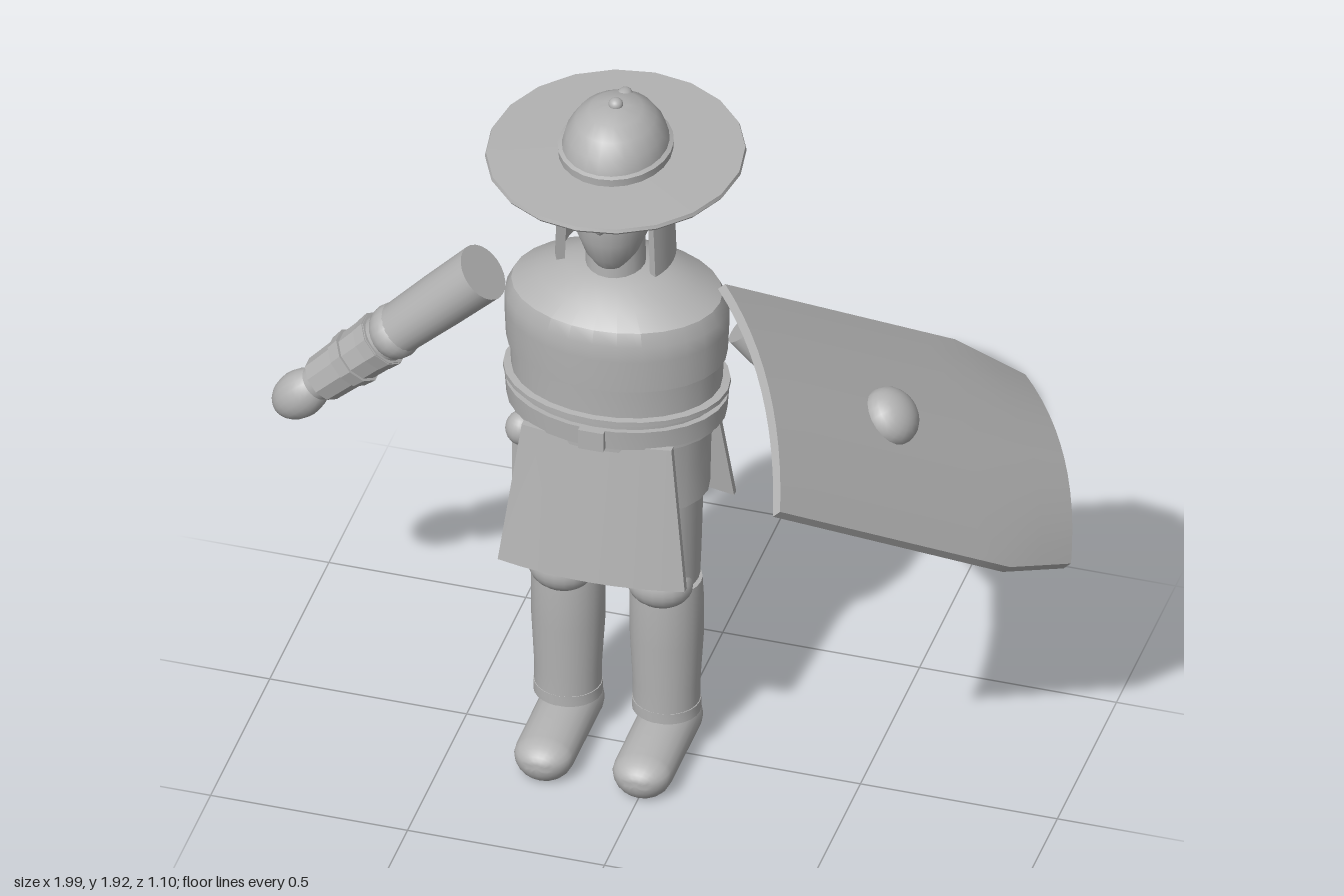
import * as THREE from 'three';
import { toCreasedNormals } from 'three/addons/utils/BufferGeometryUtils.js';

const grey = new THREE.MeshStandardMaterial({ color: 0xb2b2b2, side: THREE.DoubleSide });
grey.name = 'clay grey';

const CX = -0.125; // body axis
const CZ = -0.022;

function add(parent, name, geometry, x = 0, y = 0, z = 0) {
  const mesh = new THREE.Mesh(geometry, grey);
  mesh.name = name;
  mesh.position.set(x, y, z);
  parent.add(mesh);
  return mesh;
}

// Moves every vertex of a geometry by a rule, then rebuilds its normals
function bend(geometry, rule, crease = 0.7) {
  const p = geometry.attributes.position;
  const v = new THREE.Vector3();
  for (let i = 0; i < p.count; i++) {
    v.fromBufferAttribute(p, i);
    rule(v);
    p.setXYZ(i, v.x, v.y, v.z);
  }
  return toCreasedNormals(geometry, crease);
}

function lathe(points, sx = 1, sz = 1, segments = 24) {
  const g = new THREE.LatheGeometry(points.map(([r, y]) => new THREE.Vector2(r, y)), segments);
  g.scale(sx, 1, sz);
  return toCreasedNormals(g, 0.6);
}

function ball(rx, ry, rz) {
  return new THREE.SphereGeometry(1, 20, 14).scale(rx, ry, rz);
}

function makeHead() {
  const head = new THREE.Group();
  head.name = 'head';
  head.position.set(CX - 0.003, 0, CZ);
  add(head, 'neck', new THREE.CylinderGeometry(0.07, 0.075, 0.16, 20), 0, 1.49, 0);
  // Face narrows to a chin set slightly forward
  const face = lathe([[0, 1.455], [0.04, 1.463], [0.066, 1.5], [0.09, 1.56], [0.104, 1.63], [0.108, 1.7], [0.108, 1.76]], 1, 1.13);
  add(head, 'face', bend(face, (v) => { v.z += (1.76 - v.y) * 0.12; }));
  add(head, 'nose', ball(0.018, 0.033, 0.026), 0, 1.635, 0.128);
  for (const s of [-1, 1]) add(head, 'eye', ball(0.014, 0.006, 0.008), s * 0.043, 1.68, 0.117);

  // Hanging hood, open at the face and flaring downwards
  const gap = 1.02;
  const ring = new THREE.Shape();
  ring.absarc(0, 0, 1, Math.PI / 2 + gap, Math.PI * 2.5 - gap, false);
  ring.absarc(0, 0, 0.86, Math.PI * 2.5 - gap, Math.PI / 2 + gap, true);
  const hood = new THREE.ExtrudeGeometry(ring, { depth: 0.29, steps: 3, bevelEnabled: false, curveSegments: 20 });
  add(head, 'hood', bend(hood, (v) => {
    const t = v.z / 0.29;
    v.set(v.x * (0.127 + 0.02 * Math.sqrt(t)), 1.755 - v.z, v.y * 0.157);
    v.x *= -1;
  }));

  // Wide helmet
  const brim = lathe([[0.1, 1.75], [0.312, 1.75], [0.317, 1.757], [0.314, 1.766], [0.1, 1.77]], 1, 1.055, 20);
  add(head, 'helmetBrim', brim);
  add(head, 'helmetBand', lathe([[0.138, 1.76], [0.14, 1.79], [0.128, 1.796]], 1, 1.15));
  add(head, 'helmetDome', lathe([[0.133, 1.76], [0.131, 1.79], [0.12, 1.83], [0.097, 1.866], [0.065, 1.89], [0.03, 1.9], [0, 1.902]], 1, 1.17));
  add(head, 'topKnob', ball(0.018, 0.016, 0.018), 0, 1.904, 0);
  add(head, 'rearKnob', ball(0.019, 0.014, 0.026), 0, 1.882, -0.073);
  return head;
}

function makeBody() {
  const body = new THREE.Group();
  body.name = 'body';
  body.position.set(CX, 0, CZ);
  const depth = 0.755;
  add(body, 'torso', lathe([[0, 1.0], [0.262, 1.0], [0.262, 1.1], [0.266, 1.185], [0.275, 1.19], [0.279, 1.28], [0.278, 1.325],
    [0.262, 1.36], [0.2, 1.395], [0.13, 1.425], [0.07, 1.438], [0, 1.44]], 1, depth, 28));
  add(body, 'upperBelt', lathe([[0.255, 1.088], [0.282, 1.09], [0.282, 1.103], [0.255, 1.106]], 1, depth, 28));
  add(body, 'belt', lathe([[0.25, 1.016], [0.274, 1.016], [0.278, 1.07], [0.25, 1.07]], 1, depth, 28));
  add(body, 'buckle', new THREE.BoxGeometry(0.064, 0.055, 0.02), 0, 1.043, 0.212);
  add(body, 'hips', lathe([[0, 0.79], [0.232, 0.79], [0.234, 0.9], [0.24, 1.02]], 1, 0.73));

  // Flared front and back skirt panels
  for (const s of [1, -1]) {
    const panel = new THREE.BoxGeometry(1, 0.385, 0.018, 8, 1, 1);
    const mesh = add(body, s > 0 ? 'frontSkirt' : 'backSkirt', bend(panel, (v) => {
      const t = 0.5 - v.y / 0.385;
      v.x *= 0.38 + 0.095 * t;
      v.z += 0.182 + 0.055 * t - 0.5 * v.x * v.x;
    }));
    mesh.position.y = 0.827;
    if (s < 0) mesh.rotation.y = Math.PI;
  }

  // Dagger on the right hip
  add(body, 'daggerPommel', ball(0.042, 0.045, 0.042), -0.21, 0.955, 0.1);
  add(body, 'daggerGrip', new THREE.CylinderGeometry(0.016, 0.016, 0.1, 10), -0.215, 1.0, 0.09);
  add(body, 'daggerSheath', new THREE.BoxGeometry(0.035, 0.2, 0.05), -0.22, 0.82, 0.07);
  return body;
}

function makeLeg(side) {
  const leg = new THREE.Group();
  leg.name = side > 0 ? 'leftLeg' : 'rightLeg';
  leg.position.set(CX + side * 0.125, 0, -0.015);
  add(leg, 'thigh', lathe([[0, 0.525], [0.087, 0.525], [0.09, 0.6], [0.096, 0.82]], 0.97, 1.06));
  add(leg, 'kneeJoint', new THREE.CylinderGeometry(0.065, 0.065, 0.1, 16), 0, 0.51, 0.01);
  add(leg, 'kneeCap', ball(0.083, 0.065, 0.066), 0, 0.527, 0.045);
  const shin = lathe([[0, 0.508], [0.088, 0.508], [0.091, 0.45], [0.09, 0.34], [0.083, 0.2], [0.083, 0.12], [0, 0.11]]);
  // Calf swells backwards
  add(leg, 'shin', bend(shin, (v) => {
    v.z = v.z * 0.95 - 0.01;
    if (v.z < 0) v.z *= 1 + 0.2 * Math.exp(-(((v.y - 0.35) / 0.09) ** 2));
  }));
  add(leg, 'ankleCuff', lathe([[0.075, 0.11], [0.085, 0.115], [0.085, 0.145], [0.075, 0.15]], 1, 0.93), 0, 0, -0.01);

  // Foot tapers in height towards the toe and has a flat sole
  const foot = new THREE.CapsuleGeometry(0.068, 0.25, 8, 20).rotateX(Math.PI / 2);
  add(leg, 'foot', bend(foot, (v) => {
    v.x *= 1.1;
    if (v.y > 0) v.y *= 1 - 0.32 * THREE.MathUtils.smoothstep(v.z, 0, 0.18);
    v.y = Math.max(v.y, -0.056);
  }), 0, 0.057, 0.063);
  return leg;
}

function makeArm(side) {
  // Built hanging down -y from the shoulder, then swung out to 45 degrees
  const arm = new THREE.Group();
  arm.name = side > 0 ? 'leftArm' : 'rightArm';
  arm.position.set(CX + side * 0.34, 1.325, CZ);
  arm.rotation.z = side * Math.PI / 4;
  add(arm, 'upperArm', lathe([[0, -0.32], [0.064, -0.32], [0.07, -0.15], [0.073, 0], [0, 0]], 1, 1.08));
  add(arm, 'elbow', ball(0.07, 0.06, 0.076), 0, -0.315, 0);
  add(arm, 'forearm', lathe([[0.064, -0.3], [0.06, -0.42], [0.045, -0.6]]));
  add(arm, 'bracer', toCreasedNormals(new THREE.CylinderGeometry(0.071, 0.06, 0.22, 10), 0.3), 0, -0.465, 0);
  for (const y of [-0.375, -0.465]) {
    add(arm, 'bracerBand', toCreasedNormals(new THREE.CylinderGeometry(0.074, 0.07, 0.035, 10), 0.3), 0, y, 0);
  }
  add(arm, 'hand', ball(0.06, 0.082, 0.056), 0, -0.655, 0);
  return arm;
}

function makeShield() {
  const shield = new THREE.Group();
  shield.name = 'shield';
  // Local axes: x across, y outwards, z towards the upper end
  const out = new THREE.Vector3(1, 1, 0).normalize();
  const along = new THREE.Vector3(0.545, -0.545, -0.64).normalize();
  const across = along.clone().cross(out);
  shield.setRotationFromMatrix(new THREE.Matrix4().makeBasis(across, out, along.clone().negate()));
  shield.position.set(0.594, 1.06, -0.025);

  // Curved section swept along the length, clipped in at the lower end
  const half = 0.316, rise = 0.058, thick = 0.026, n = 12;
  const curve = (x) => rise * (1 - (x / half) ** 2);
  const section = new THREE.Shape();
  for (let i = 0; i <= n; i++) {
    const x = -half + (2 * half * i) / n;
    if (i === 0) section.moveTo(x, curve(x) - thick);
    else section.lineTo(x, curve(x) - thick);
  }
  for (let i = n; i >= 0; i--) {
    const x = -half + (2 * half * i) / n;
    section.lineTo(x, curve(x));
  }
  const length = 1.02;
  const plate = new THREE.ExtrudeGeometry(section, { depth: length, steps: 9, bevelEnabled: false });
  add(shield, 'shieldPlate', bend(plate, (v) => {
    const t = v.z / length;
    v.x *= 0.83 + 0.17 * Math.min(1, t / 0.222);
    v.z -= length / 2;
  }, 0.5));
  add(shield, 'shieldBoss', ball(0.076, 0.06, 0.076), 0, 0.06, -0.0);
  // Offset of the boss towards the upper end
  shield.children[1].position.z = 0.09;
  return shield;
}

export function createModel() {
  const model = new THREE.Group();
  model.name = 'shieldBearer';
  model.add(makeHead(), makeBody(), makeShield());
  for (const side of [-1, 1]) model.add(makeLeg(side), makeArm(side));
  return model;
}
